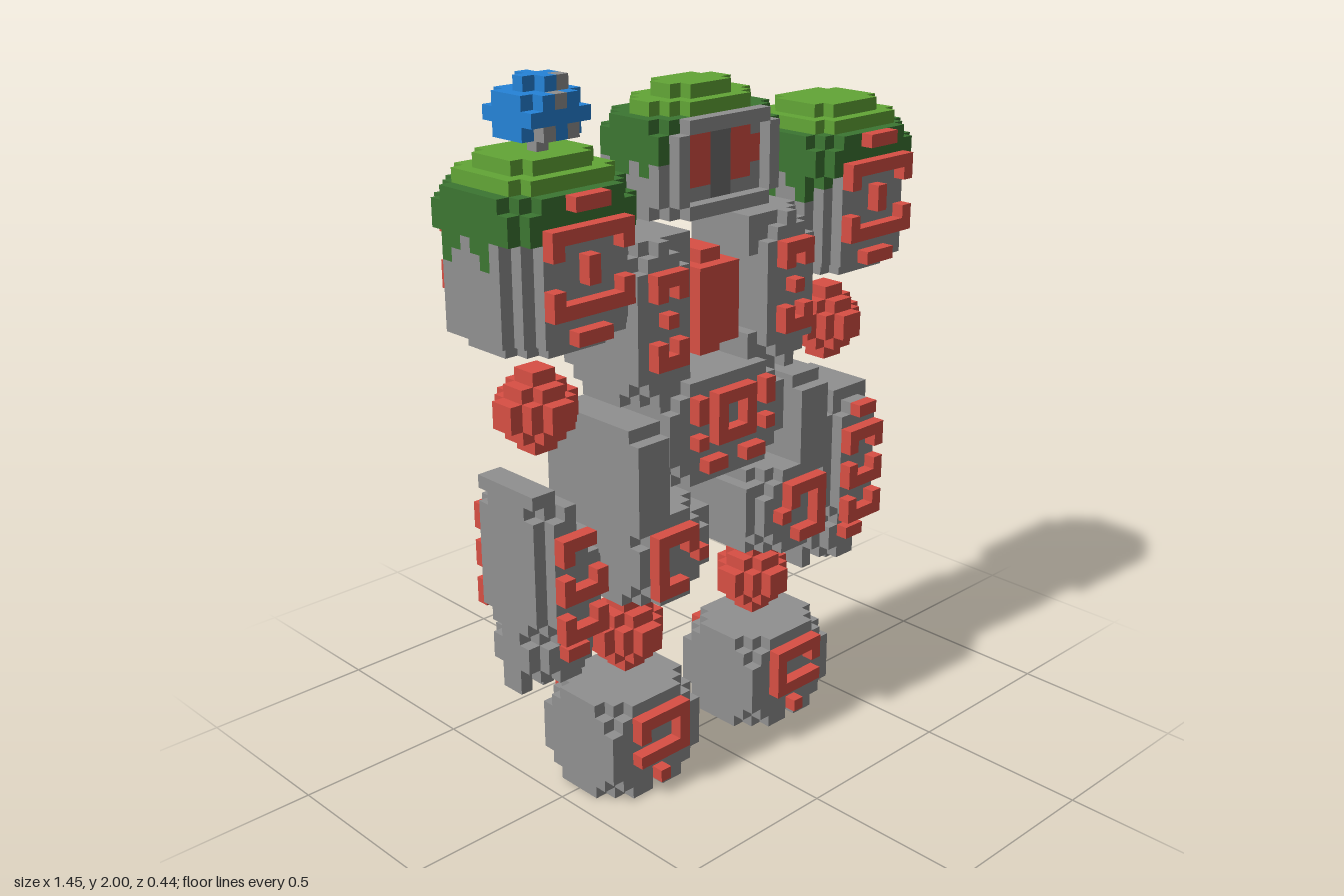
import * as THREE from 'three';

const V = 2 / 55; // edge of one cube
const paint = (name, color) => Object.assign(new THREE.MeshStandardMaterial({ color }), { name });
const MATERIALS = [
  paint('stone', 0x909090), paint('darkStone', 0x707070), paint('crystalRed', 0xd84f44),
  paint('moss', 0x62a636), paint('darkMoss', 0x3c7632), paint('featherBlue', 0x2583d8),
];
const [STONE, DARK, RED, MOSS, DEEP, BLUE] = [0, 1, 2, 3, 4, 5];

// small repeatable noise for ragged edges
const ragged = (x, z) => Math.abs((x * 7 + z * 13 + x * z * 3) % 3);

// cutting rules: distances to the nearest faces of a block
const tips = (dx, dy, dz) => dx + dy + dz < 1;
const corners = (dx, dy, dz) => dx + dy + dz < 2;
const uprights = (dx, dy, dz) => dx + dz < 2;
const uprightsSmall = (dx, dy, dz) => dx + dz < 1;
const rounded = (dx, dy, dz) => dx + dz < 1 || dx + dy + dz < 2;

// A part made of cubes; side -1 mirrors it in x
class Cubes {
  constructor(side = 1) { this.side = side; this.cells = new Map(); }
  block(x0, x1, y0, y1, z0, z1, m, cut) {
    for (let x = x0; x < x1; x++) for (let y = y0; y < y1; y++) for (let z = z0; z < z1; z++) {
      const d = [Math.min(x - x0, x1 - 1 - x), Math.min(y - y0, y1 - 1 - y), Math.min(z - z0, z1 - 1 - z)];
      if (cut && cut(...d)) continue;
      this.cells.set(`${x},${y},${z}`, [x, y, z, m]);
    }
    return this;
  }
  // raised mark on the front and back, z = depth of the surface
  rune(z, ...rects) {
    for (const [x0, x1, y0, y1] of rects) {
      this.block(x0, x1, y0, y1, z, z + 1, RED);
      this.block(x0, x1, y0, y1, -z - 1, -z, RED);
    }
    return this;
  }
  // stepped round crystal, six cubes across
  ball(cx, cy) {
    for (let x = -3; x < 3; x++) for (let y = -3; y < 3; y++) for (let z = -3; z < 3; z++)
      if (Math.abs(x + 0.5) + Math.abs(y + 0.5) + Math.abs(z + 0.5) < 4)
        this.block(cx + x, cx + x + 1, cy + y, cy + y + 1, z, z + 1, RED);
    return this;
  }
  remove(test) {
    for (const [k, c] of this.cells) if (test(c[0], c[1], c[2])) this.cells.delete(k);
    return this;
  }
  recolor(m, test) {
    for (const c of this.cells.values()) if (test(c[0], c[1], c[2])) c[3] = m;
    return this;
  }
  // keep only the outward faces, grouped by colour
  mesh(name) {
    const lists = MATERIALS.map(() => ({ p: [], n: [] }));
    for (const [x, y, z, m] of this.cells.values()) {
      for (let a = 0; a < 3; a++) for (const s of [-1, 1]) {
        const n = [0, 0, 0]; n[a] = s;
        if (this.cells.has(`${x + n[0]},${y + n[1]},${z + n[2]}`)) continue;
        const b = (a + 1) % 3, c = (a + 2) % 3;
        const quad = [[0, 0], [1, 0], [1, 1], [0, 1]].map(([u, v]) => {
          const p = [x, y, z];
          p[a] += s > 0 ? 1 : 0; p[b] += u; p[c] += v;
          p[0] *= this.side;
          return p.map(q => q * V);
        });
        if (s * this.side < 0) quad.reverse();
        n[0] *= this.side;
        for (const i of [0, 1, 2, 0, 2, 3]) { lists[m].p.push(...quad[i]); lists[m].n.push(...n); }
      }
    }
    const geo = new THREE.BufferGeometry(), used = [], p = [], n = [];
    lists.forEach((l, i) => {
      if (!l.p.length) return;
      geo.addGroup(p.length / 3, l.p.length / 3, used.length);
      used.push(MATERIALS[i]);
      for (const q of l.p) p.push(q);
      for (const q of l.n) n.push(q);
    });
    geo.setAttribute('position', new THREE.Float32BufferAttribute(p, 3));
    geo.setAttribute('normal', new THREE.Float32BufferAttribute(n, 3));
    const mesh = new THREE.Mesh(geo, used);
    mesh.name = name;
    return mesh;
  }
}

function head() {
  const h = new Cubes()
    .block(-6, 6, 44, 51, -4, 4, STONE, rounded)
    .block(-5, 5, 51, 52, -3, 3, MOSS, uprights)
    .block(-3, 3, 52, 53, -2, 2, MOSS, uprightsSmall);
  h.recolor(DEEP, (x, y, z) => y < 51 && z < 3 && y >= 48 - ragged(x, z) + (z > 0 ? 1 : 0));
  h.recolor(DEEP, (x, y, z) => z === 3 && y === 50 && Math.abs(x + 0.5) > 4);
  // sunken face with crystal eyes and a dark ridge
  h.remove((x, y, z) => z === 3 && x >= -4 && x < 4 && y >= 45 && y < 50);
  h.block(-4, 4, 45, 50, 2, 3, STONE).block(-1, 1, 45, 50, 2, 3, DARK);
  for (const s of [0, 1]) {
    h.block(s ? 1 : -3, s ? 3 : -1, 46, 50, 2, 3, RED);
    h.block(s ? 1 : -4, s ? 4 : -1, 47, 49, 2, 3, RED);
  }
  return h.mesh('head');
}

function bird() {
  const b = new Cubes()
    .block(-17, -12, 51, 54, -2, 3, BLUE, tips)
    .block(-16, -13, 54, 55, -1, 2, BLUE, uprightsSmall)
    .block(-15, -14, 50, 51, 0, 1, STONE);
  // grey beak, crest and feet
  for (const [x, y, z] of [[-14, 54, 1], [-15, 53, 2], [-16, 51, 2], [-14, 51, 2], [-13, 51, -2]])
    b.block(x, x + 1, y, y + 1, z, z + 1, STONE);
  return b.mesh('perchedBird');
}

function torso() {
  const t = new Cubes().block(-6, 6, 24, 32, -4, 4, STONE, corners);
  t.rune(4, [-2, 2, 27, 31]);
  t.remove((x, y, z) => (z === 4 || z === -5) && x >= -1 && x < 1 && y >= 28 && y < 30);
  for (const x of [-4, 3]) t.rune(4, [x, x + 1, 29, 31], [x, x + 1, 27, 28]);
  t.rune(4, [-3, -1, 25, 26], [1, 3, 25, 26]);
  return t.mesh('lowerTorso');
}

const heart = () => new Cubes()
  .block(-2, 2, 34, 40, -3, 3, RED)
  .block(-1, 1, 33, 41, -2, 2, RED).mesh('heartCrystal');

const chest = s => new Cubes(s)
  .block(4, 9, 31, 43, -4, 4, STONE, corners)
  .block(3, 5, 40, 43, -3, 3, STONE)
  .block(3, 5, 31, 34, -3, 3, STONE)
  .rune(4, [5, 8, 40, 41], [5, 6, 39, 40], [7, 8, 39, 40], [6, 7, 37, 38],
    [5, 6, 35, 36], [7, 8, 35, 36], [5, 8, 34, 35])
  .mesh('chestPillar');

function shoulder(s) {
  const b = new Cubes(s)
    .block(10, 19, 37, 38, -4, 4, STONE, uprights)
    .block(9, 20, 38, 48, -5, 5, STONE, uprights)
    .block(9, 20, 45, 47, -5, 5, STONE, uprightsSmall)
    .block(10, 19, 48, 49, -4, 4, MOSS, uprightsSmall)
    .block(11, 18, 49, 50, -3, 3, MOSS, uprightsSmall);
  // moss hanging over the edge
  b.recolor(DEEP, (x, y) => y < 48 && y >= 45);
  b.recolor(DEEP, (x, y, z) => y < 45 && y >= 45 - ragged(x, z) && (x < 11 || x > 17));
  return b.rune(5, [13, 16, 47, 48], [11, 18, 45, 46], [11, 12, 44, 45], [17, 18, 44, 45],
    [14, 15, 42, 44], [11, 12, 41, 42], [17, 18, 41, 42], [11, 18, 40, 41], [13, 16, 38, 39])
    .mesh('shoulder');
}

function forearm(s) {
  const a = new Cubes(s)
    .block(12, 18, 16, 26, -4, 4, STONE, rounded)
    .block(13, 17, 26, 27, -3, 3, STONE)
    .block(12, 18, 12, 16, -3, 3, STONE, rounded);
  for (const x of [12, 15, 17]) a.block(x, x + 1, 11, 12, -1, 1, STONE);
  a.rune(4, [13, 17, 23, 24], [13, 14, 22, 23], [16, 17, 22, 23], [13, 14, 20, 21], [16, 17, 20, 21],
    [13, 17, 19, 20], [13, 14, 17, 18], [16, 17, 17, 18], [13, 17, 16, 17]);
  a.rune(3, [14, 16, 14, 15]);
  if (s > 0) {
    // worn outer edge of the lower arm
    a.rune(4, [14, 16, 25, 26]);
    a.remove((x, y) => (y < 17 && x > 16) || (y < 16 && x > 15));
  } else {
    // broken slope at the top of the arm
    a.block(16, 18, 26, 27, -3, 3, STONE);
    a.remove((x, y) => x < (y >= 26 ? 16 : y >= 24 ? 15 : y >= 22 ? 14 : y >= 21 ? 13 : 12));
  }
  return a.mesh('forearm');
}

const thigh = s => new Cubes(s)
  .block(7, 10, 22, 29, -5, 5, STONE)
  .block(7, 10, 29, 30, -4, 4, STONE)
  .block(3, 10, 16, 23, -5, 5, STONE, corners)
  .block(2, 3, 18, 22, -4, 4, STONE)
  .rune(5, [5, 9, 21, 22], [5, 6, 20, 21], [8, 9, 17, 22], [6, 9, 17, 18], [4, 5, 19, 20])
  .mesh('thigh');

// foot with a hollow sole
const foot = s => new Cubes(s)
  .block(3, 12, 0, 8, -4, 4, STONE, corners)
  .remove((x, y, z) => y === 0 && Math.abs(x - 7) + Math.abs(z + 0.5) < 4)
  .rune(4, [5, 10, 6, 7], [5, 6, 4, 6], [9, 10, 5, 6], [5, 10, 3, 4], [7, 8, 1, 2])
  .mesh('foot');

export function createModel() {
  const model = new THREE.Group();
  model.name = 'stoneGuardian';
  model.add(head(), bird(), torso(), heart());
  for (const s of [1, -1]) {
    const half = new THREE.Group();
    half.name = s > 0 ? 'leftSide' : 'rightSide';
    half.add(chest(s), shoulder(s), forearm(s), thigh(s), foot(s),
      new Cubes(s).ball(15, 32).mesh('elbowCrystal'),
      new Cubes(s).ball(7, 12).mesh('kneeCrystal'));
    model.add(half);
  }
  return model;
}
